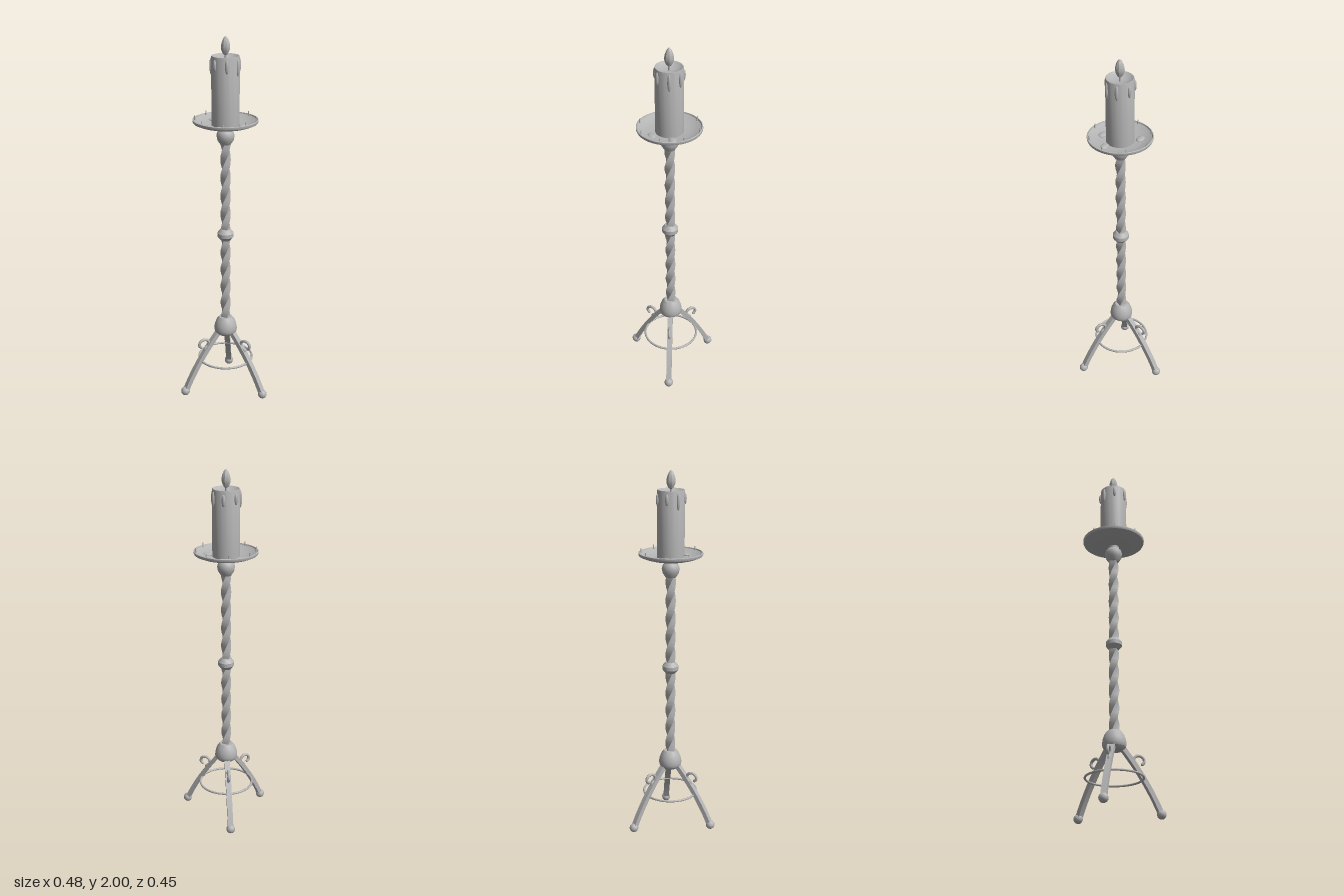
import * as THREE from 'three';
import { toCreasedNormals } from 'three/addons/utils/BufferGeometryUtils.js';

export function createModel() {
  const root = new THREE.Group();
  root.name = 'candleStand';
  const grey = new THREE.MeshStandardMaterial({ color: 0xb4b4b4 });
  grey.name = 'plainGrey';

  // everything stands around one axis, slightly forward of the centre
  const stand = new THREE.Group();
  stand.name = 'stand';
  stand.position.z = 0.05;
  root.add(stand);

  const add = (name, geometry, parent = stand) => {
    const mesh = new THREE.Mesh(geometry, grey);
    mesh.name = name;
    parent.add(mesh);
    return mesh;
  };
  const lathe = (name, points, sides = 32, crease = 0.6) =>
    add(name, toCreasedNormals(
      new THREE.LatheGeometry(points.map(p => new THREE.Vector2(...p)), sides), crease));

  // square bar with a steady twist
  const twistedBar = (name, y0, y1) => {
    const h = y1 - y0;
    const g = new THREE.BoxGeometry(0.039, h, 0.039, 1, 60, 1);
    const p = g.attributes.position;
    for (let i = 0; i < p.count; i++) {
      const a = (p.getY(i) / h) * Math.PI * 2.5;
      const x = p.getX(i), z = p.getZ(i);
      p.setX(i, x * Math.cos(a) + z * Math.sin(a));
      p.setZ(i, z * Math.cos(a) - x * Math.sin(a));
    }
    add(name, toCreasedNormals(g, 0.7)).position.y = (y0 + y1) / 2;
  };
  twistedBar('lowerPost', 0.42, 0.92);
  twistedBar('upperPost', 0.94, 1.45);

  // hub and collars
  lathe('hub', [[0, 0.338], [0.046, 0.338], [0.06, 0.352], [0.064, 0.37], [0.06, 0.395],
    [0.05, 0.422], [0.036, 0.44], [0, 0.44]], 20);
  lathe('middleCollar', [[0, 0.9], [0.027, 0.9], [0.044, 0.921], [0.044, 0.942],
    [0.027, 0.963], [0, 0.963]], 20, 0.4);
  lathe('topCollar', [[0, 1.437], [0.028, 1.437], [0.043, 1.46], [0.048, 1.485],
    [0.042, 1.505], [0.03, 1.518], [0.03, 1.54], [0, 1.54]], 20);

  // drip tray with a raised rim and small studs
  lathe('tray', [[0, 1.53], [0.07, 1.531], [0.11, 1.535], [0.145, 1.545], [0.168, 1.555],
    [0.171, 1.562], [0.171, 1.57], [0.166, 1.572], [0.163, 1.565], [0.14, 1.553],
    [0.105, 1.544], [0.06, 1.541], [0, 1.54]], 48);
  for (let i = 0; i < 8; i++) {
    const a = i * Math.PI / 4;
    add('trayStud', new THREE.CylinderGeometry(0.0025, 0.004, 0.03, 8))
      .position.set(0.16 * Math.cos(a), 1.572, 0.16 * Math.sin(a));
  }

  // candle with a hollowed top, wick and flame
  lathe('candle', [[0, 1.538], [0.073, 1.538], [0.073, 1.893], [0.071, 1.9], [0.067, 1.9],
    [0.055, 1.89], [0.03, 1.882], [0, 1.88]], 32);
  add('wick', new THREE.CylinderGeometry(0.005, 0.005, 0.05, 8)).position.y = 1.9;
  const flame = lathe('flame', [[0, 1.9], [0.014, 1.91], [0.022, 1.927], [0.025, 1.945],
    [0.021, 1.967], [0.012, 1.988], [0, 2]], 8, 0.5);
  flame.rotation.y = Math.PI / 8;

  // wax runs: angle, centre height, half length
  const runs = [[184, 1.845, 0.045], [232, 1.855, 0.03], [286, 1.85, 0.032], [338, 1.85, 0.04],
    [27, 1.845, 0.045], [80, 1.855, 0.037], [133, 1.857, 0.03]];
  for (const [deg, y, half] of runs) {
    const a = deg * Math.PI / 180;
    const run = add('waxRun', new THREE.SphereGeometry(1, 10, 8));
    run.scale.set(0.01, half, 0.01);
    run.position.set(0.073 * Math.cos(a), y, 0.073 * Math.sin(a));
  }
  // wax spilled on the tray
  for (const [x, z] of [[-0.068, -0.08], [0.097, 0.03], [0.007, 0.104]]) {
    const puddle = add('waxPuddle', new THREE.SphereGeometry(1, 12, 8));
    puddle.scale.set(0.03, 0.009, 0.021);
    puddle.position.set(x, 1.545, z);
  }

  // side outline of a leg, bowed outward, as a band around a curve
  const path = new THREE.QuadraticBezierCurve(
    new THREE.Vector2(0.03, 0.37), new THREE.Vector2(0.172, 0.2), new THREE.Vector2(0.247, 0.027));
  const outer = [], inner = [];
  for (let i = 0; i <= 12; i++) {
    const p = path.getPoint(i / 12), t = path.getTangent(i / 12);
    const n = new THREE.Vector2(-t.y, t.x).multiplyScalar(0.012);
    outer.push(p.clone().add(n));
    inner.unshift(p.clone().sub(n));
  }
  const legGeometry = toCreasedNormals(new THREE.ExtrudeGeometry(
    new THREE.Shape([...outer, ...inner]), { depth: 0.03, bevelEnabled: false }), 0.5);
  legGeometry.translate(0, 0, -0.015);

  // curled hook above each leg
  const hookPath = new THREE.CatmullRomCurve3([[0.128, 0.25], [0.126, 0.265], [0.107, 0.28],
    [0.104, 0.3], [0.118, 0.317], [0.138, 0.32], [0.157, 0.308], [0.161, 0.289], [0.15, 0.276]]
    .map(([x, y]) => new THREE.Vector3(x, y, 0)));
  const hookGeometry = new THREE.TubeGeometry(hookPath, 28, 0.008, 8);

  for (let i = 0; i < 3; i++) {
    const leg = new THREE.Group();
    leg.name = 'leg';
    leg.rotation.y = Math.PI / 2 + i * Math.PI * 2 / 3;
    stand.add(leg);
    add('legBar', legGeometry, leg);
    add('foot', new THREE.SphereGeometry(0.025, 10, 8), leg).position.set(0.25, 0.025, 0);
    add('hook', hookGeometry, leg);
    add('hookTip', new THREE.SphereGeometry(0.008, 8, 6), leg).position.set(0.15, 0.276, 0);
  }

  // ring tying the legs together
  const ring = add('braceRing', new THREE.TorusGeometry(0.149, 0.006, 8, 48));
  ring.rotation.x = Math.PI / 2;
  ring.position.y = 0.192;

  return root;
}
